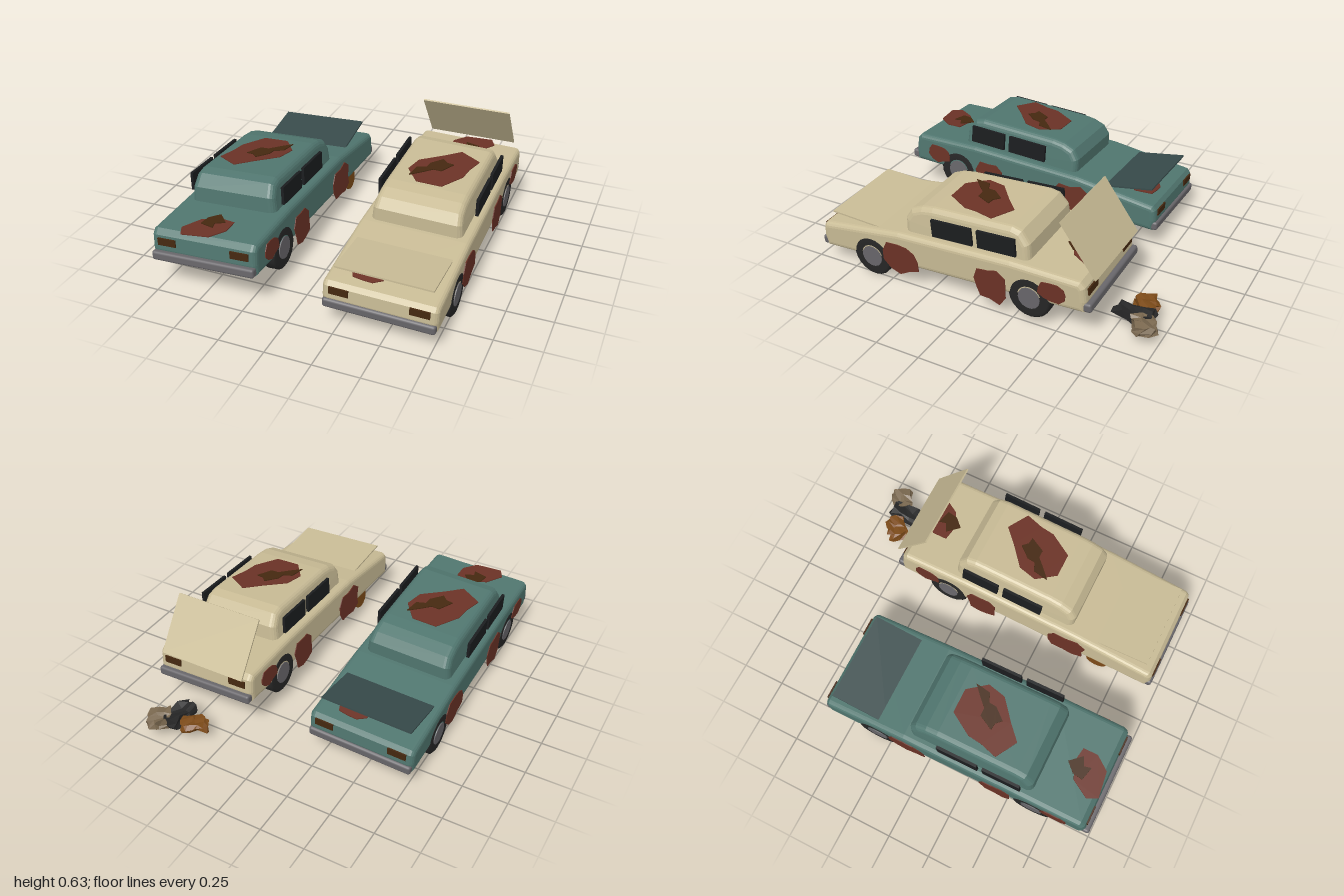
import * as THREE from 'three';
import { RoundedBoxGeometry } from 'three/addons/geometries/RoundedBoxGeometry.js';

const mat = (name, color, extra = {}) => {
  const m = new THREE.MeshStandardMaterial({ color, ...extra });
  m.name = name;
  return m;
};

const V = (pts) => pts.map(([a, b]) => new THREE.Vector2(a, b));

function seeded(seed) {
  let s = seed;
  return () => (s = (s * 16807) % 2147483647) / 2147483647;
}

// Side profile (z, y) extruded across x with rounded edges
function sideExtrude(profile, halfWidth, bevel) {
  const g = new THREE.ExtrudeGeometry(new THREE.Shape(V(profile)), {
    depth: 2 * (halfWidth - bevel), bevelEnabled: true, bevelThickness: bevel,
    bevelSize: bevel, bevelOffset: -bevel, bevelSegments: 4,
  });
  g.translate(0, 0, -(halfWidth - bevel));
  g.rotateY(-Math.PI / 2);
  return g;
}

// Thin flat plate from an outline
const plate = (pts) =>
  new THREE.ExtrudeGeometry(new THREE.Shape(V(pts)), { depth: 0.005, bevelEnabled: false });

// Irregular ragged outline
function ragged(seed, rx, ry, n = 11) {
  const rnd = seeded(seed * 7919);
  return Array.from({ length: n }, (_, i) => {
    const a = (i / n) * Math.PI * 2, r = 0.72 + 0.36 * rnd();
    return [Math.cos(a) * rx * r, Math.sin(a) * ry * r];
  });
}

const ROOF_RUST = [[0.07, -0.3], [0.19, -0.23], [0.16, -0.13], [0.15, -0.05], [0.07, 0.08],
  [-0.07, 0.08], [-0.15, -0.025], [-0.125, -0.13], [-0.01, -0.225]];
const ROOF_HOLE = [[0, -0.18], [0.03, -0.15], [0.07, -0.145], [0.025, -0.06], [-0.02, -0.06], [-0.07, -0.01],
  [-0.125, 0.04], [-0.11, -0.05], [-0.06, -0.07], [-0.055, -0.115]];

export function createModel() {
  const M = {
    cream: mat('cream paint', 0xc8bb95),
    teal: mat('teal paint', 0x50766f),
    darkTeal: mat('dark teal paint', 0x374a4a),
    black: mat('black rubber', 0x262626),
    glass: mat('dark glass', 0x1b1d1f),
    metal: mat('dull metal', 0x68666a),
    rust: mat('red rust', 0x6b3226),
    darkRust: mat('dark rust', 0x452810),
    orange: mat('orange rust', 0x7c4a18),
    taupe: mat('taupe scrap', 0x7a684f),
  };

  const add = (parent, name, geo, material, pos = [0, 0, 0], rot = [0, 0, 0]) => {
    const m = new THREE.Mesh(geo, material);
    m.name = name;
    m.position.set(...pos);
    m.rotation.set(...rot);
    parent.add(m);
    return m;
  };

  // Shared geometry
  const bodyGeo = sideExtrude([[-0.79, 0.135], [0.8, 0.135], [0.812, 0.2], [0.805, 0.265], [0.785, 0.288],
    [0.3, 0.332], [-0.38, 0.332], [-0.77, 0.31], [-0.795, 0.28], [-0.8, 0.2]], 0.302, 0.03);
  const cabinGeo = sideExtrude([[-0.375, 0.28], [0.375, 0.28], [0.372, 0.405], [0.335, 0.458], [0.27, 0.482],
    [0.2, 0.49], [-0.27, 0.49], [-0.325, 0.475], [-0.37, 0.41]], 0.252, 0.035);
  const p = cabinGeo.attributes.position;
  for (let i = 0; i < p.count; i++) p.setX(i, p.getX(i) * (1 - 0.55 * Math.max(0, p.getY(i) - 0.33)));
  cabinGeo.computeVertexNormals();
  const tyreGeo = new THREE.LatheGeometry(V([[0.055, -0.036], [0.105, -0.04], [0.12, -0.03],
    [0.12, 0.03], [0.105, 0.04], [0.055, 0.036]]), 20).rotateZ(-Math.PI / 2);
  const hubGeo = new THREE.CylinderGeometry(0.062, 0.066, 0.084, 14).rotateZ(-Math.PI / 2);
  const drumGeo = new THREE.CylinderGeometry(0.065, 0.065, 0.04, 12).rotateZ(-Math.PI / 2);
  const panelGeo = new THREE.BoxGeometry(0.515, 0.009, 0.34);
  const bumperGeo = new RoundedBoxGeometry(0.59, 0.052, 0.048, 2, 0.014);

  function makeCar(name, paint, hoodPaint, hood) {
    const car = new THREE.Group();
    car.name = name;
    const c = new THREE.Group();
    c.name = name + ' parts';
    c.position.y = -0.147;
    car.add(c);

    add(c, 'body', bodyGeo, paint);
    add(c, 'cabin', cabinGeo, paint, [0, 0, -0.095]);
    add(c, 'underbody', new THREE.BoxGeometry(0.5, 0.06, 1.14), M.darkRust, [0, 0.145, 0]);
    add(c, 'hood', panelGeo, hoodPaint, [0, hood.y, hood.z], [-hood.angle, 0, 0]);

    // Bumpers and lamps at both ends
    for (const s of [1, -1]) {
      add(c, 'bumper', bumperGeo, M.metal, [0, 0.168, s * 0.802]);
      for (const x of [-0.21, 0.21])
        add(c, 'lamp', new THREE.BoxGeometry(0.104, 0.04, 0.009), M.darkRust, [x, 0.246, s > 0 ? 0.81 : -0.8]);
    }

    // Side windows, wheels and side rust
    for (const s of [1, -1]) {
      for (const [z, len] of [[-0.037, 0.24], [-0.3, 0.22]])
        add(c, 'window', new THREE.BoxGeometry(0.016, 0.1, len), M.glass, [s * 0.272, 0.408, z]);
      for (const z of [0.485, -0.485]) {
        if (s < 0 && z > 0) {
          add(c, 'bareDrum', drumGeo, M.orange, [-0.262, 0.105, z]);
          continue;
        }
        add(c, 'tyre', tyreGeo, M.black, [s * 0.265, 0.147, z]);
        add(c, 'hub', hubGeo, M.metal, [s * 0.265, 0.147, z], [0, s > 0 ? 0 : Math.PI, 0]);
      }
      [[0.287, 0.182, 0.125, 0.105], [-0.262, 0.162, 0.105, 0.11], [-0.62, 0.22, 0.085, 0.062]].forEach(
        ([z, y, rx, ry], i) => add(c, 'sideRust', plate(ragged(i + 4 + s, rx, ry)), M.rust,
          [s * 0.303, y, z], [0, s * Math.PI / 2, 0]));
    }

    // Rust on roof, trunk and hood
    const flat = (nm, pts, m, x, y, z, tilt = 0) =>
      add(c, nm, plate(pts.map(([a, b]) => [a, -b])), m, [x, y, z], [tilt - Math.PI / 2, 0, 0]);
    flat('roofRust', ROOF_RUST, M.rust, 0, 0.489, 0);
    flat('roofHole', ROOF_HOLE, M.darkRust, 0, 0.494, 0);
    flat('trunkRust', [[0, 0.09], [-0.09, 0.075], [-0.09, -0.01], [-0.03, -0.09], [0.12, -0.11],
      [0.15, -0.05], [0.09, 0.05]], M.rust, 0, 0.316, -0.69, -0.056);
    flat('trunkHole', [[0.01, 0.12], [-0.05, 0.055], [0, 0.03], [-0.01, -0.01], [0.07, 0.01],
      [0.06, 0.07]], M.darkRust, 0, 0.321, -0.69, -0.056);
    flat('hoodRust', ragged(9, 0.1, 0.09), M.rust, -0.1, 0.303, 0.66, 0.09);
    return car;
  }

  const root = new THREE.Group();
  root.name = 'wrecked cars';

  // Two wrecks parked nose to tail, each sagging at the front
  const cream = makeCar('creamCar', M.cream, M.cream, { y: 0.3285, z: 0.58, angle: 0.1 });
  cream.position.set(0.468, 0.151, 0.13);
  cream.rotation.set(0.049, 0, -0.028, 'YXZ');
  const teal = makeCar('tealCar', M.teal, M.darkTeal, { y: 0.337, z: 0.59, angle: 0.21 });
  teal.position.set(-0.475, 0.154, 0.165);
  teal.rotation.set(0.049, Math.PI, -0.043, 'YXZ');
  root.add(cream, teal);

  // Raised trunk lid of the cream car
  add(root, 'trunkLid', panelGeo, M.cream, [0.462, 0.487, -0.596], [-0.95, 0, 0]);

  // Crumpled scrap lying behind the cream car
  const scrap = (name, material, seed, size, pos, turn) => {
    const rnd = seeded(seed * 104729);
    const g = new THREE.BoxGeometry(...size, 3, 2, 3);
    const q = g.attributes.position, moved = new Map();
    for (let i = 0; i < q.count; i++) {
      const k = [q.getX(i), q.getY(i), q.getZ(i)].map((v) => v.toFixed(3)).join();
      if (!moved.has(k)) moved.set(k, [rnd() - 0.5, rnd() - 0.5, rnd() - 0.5]);
      const d = moved.get(k);
      q.setXYZ(i, q.getX(i) + d[0] * 0.035, q.getY(i) + d[1] * 0.025, q.getZ(i) + d[2] * 0.035);
    }
    const flatGeo = g.toNonIndexed();
    flatGeo.computeVertexNormals();
    add(root, name, flatGeo, material, pos, [0, turn, 0]);
  };
  scrap('orangeScrap', M.orange, 3, [0.12, 0.05, 0.1], [0.425, 0.08, -0.855], 0.6);
  scrap('rubberScrap', M.black, 5, [0.085, 0.055, 0.19], [0.535, 0.083, -0.835], -0.1);
  scrap('taupeScrap', M.taupe, 8, [0.105, 0.06, 0.11], [0.612, 0.085, -0.918], 0.45);

  return root;
}
